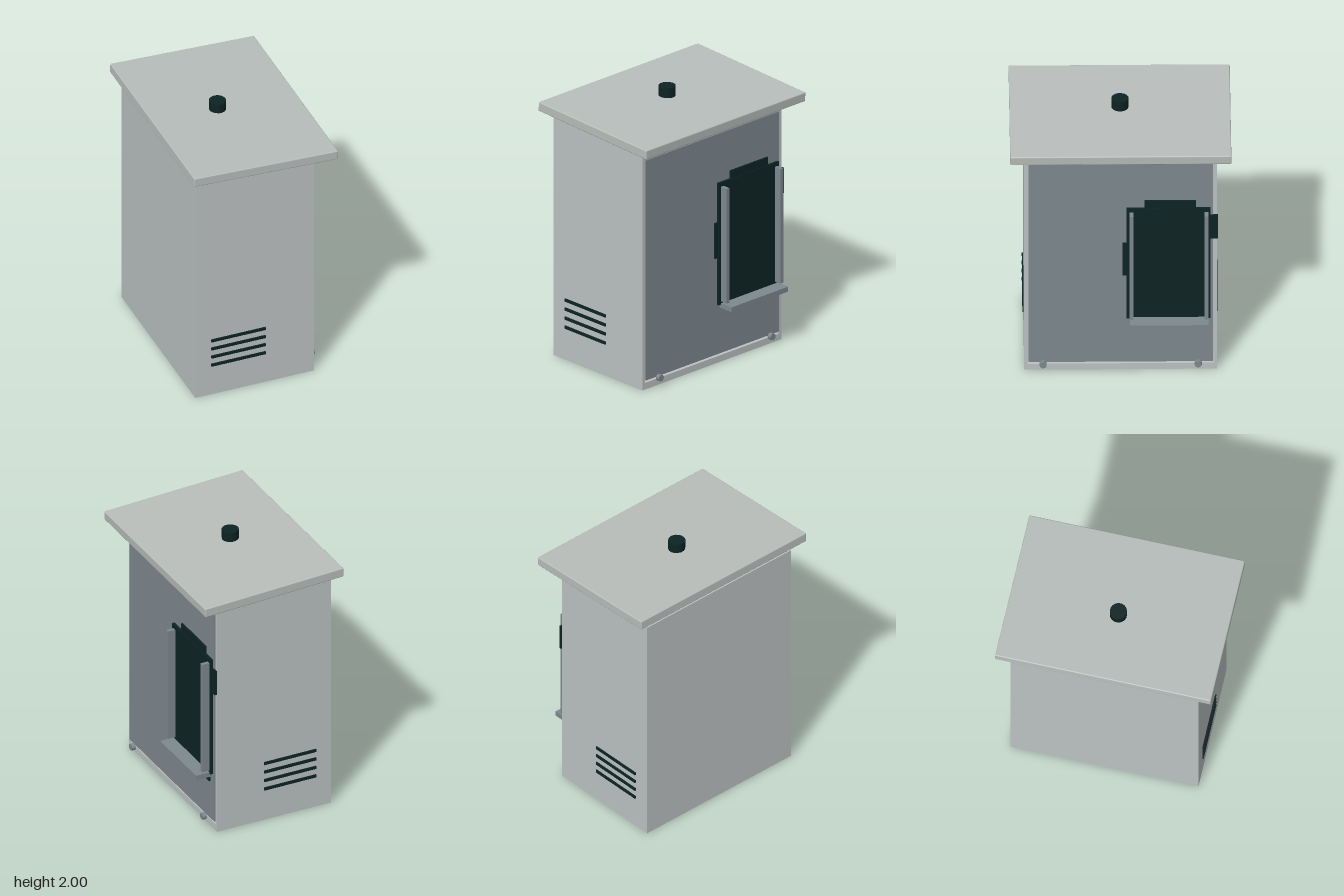
import * as THREE from 'three';
import { RoundedBoxGeometry } from 'three/addons/geometries/RoundedBoxGeometry.js';

export function createModel() {
  const model = new THREE.Group();
  model.name = 'utilityCabinet';

  const material = (name, color) => {
    const m = new THREE.MeshStandardMaterial({ color });
    m.name = name;
    return m;
  };
  const casing = material('casing grey', 0xbcc2c2);
  const roofGrey = material('roof grey', 0xb8bebb);
  const slate = material('slate grey', 0x7e898f);
  const dark = material('dark green black', 0x0d2323);

  const add = (name, geometry, mat, x = 0, y = 0, z = 0) => {
    const mesh = new THREE.Mesh(geometry, mat);
    mesh.name = name;
    mesh.position.set(x, y, z);
    model.add(mesh);
    return mesh;
  };
  // Box given by its lower and upper limits on each axis
  const box = (name, mat, [x0, x1], [y0, y1], [z0, z1]) =>
    add(name, new THREE.BoxGeometry(x1 - x0, y1 - y0, z1 - z0), mat,
      (x0 + x1) / 2, (y0 + y1) / 2, (z0 + z1) / 2);

  // Cabinet body with a shallow door recess framed on the +x side
  box('body', casing, [-0.5, 0.365], [0, 1.82], [-0.68, 0.68]);
  const outline = new THREE.Shape([
    new THREE.Vector2(-0.68, 0), new THREE.Vector2(0.68, 0),
    new THREE.Vector2(0.68, 1.82), new THREE.Vector2(-0.68, 1.82),
  ]);
  outline.holes.push(new THREE.Path([
    new THREE.Vector2(-0.655, 0.05), new THREE.Vector2(-0.655, 1.79),
    new THREE.Vector2(0.655, 1.79), new THREE.Vector2(0.655, 0.05),
  ]));
  const frame = add('doorFrame',
    new THREE.ExtrudeGeometry(outline, { depth: 0.04, bevelEnabled: false }), casing, 0.365);
  frame.rotation.y = Math.PI / 2;
  box('door', slate, [0.385, 0.413], [0.07, 1.75], [-0.65, 0.65]);

  // Sloping roof and its vent cap
  const roof = add('roof', new RoundedBoxGeometry(1.1, 0.07, 1.56, 2, 0.008), roofGrey, 0, 1.89, 0);
  roof.rotation.z = -0.043;
  const cap = add('ventCap', new THREE.CylinderGeometry(0.061, 0.061, 0.09, 16), dark, -0.05, 1.955, 0);
  cap.rotation.y = Math.PI / 16;

  // Ventilation slots, front and back
  for (const side of [1, -1]) {
    for (let i = 0; i < 4; i++) {
      add('ventSlot', new THREE.BoxGeometry(0.413, 0.022, 0.014), dark,
        -0.172, 0.252 + i * 0.069, side * 0.682);
    }
  }

  // Dark backing plate with offset tabs around its edges
  box('backingPlate', dark, [0.413, 0.433], [0.45, 1.38], [-0.633, -0.042]);
  box('topTab', dark, [0.41, 0.426], [1.37, 1.44], [-0.532, -0.167]);
  box('bottomTab', dark, [0.41, 0.426], [0.375, 0.46], [-0.595, -0.355]);
  box('frontTab', dark, [0.41, 0.426], [0.81, 1.08], [-0.05, -0.013]);
  box('rearTab', dark, [0.41, 0.426], [1.12, 1.315], [-0.685, -0.62]);

  // Side rails and lower shelf
  for (const z of [-0.076, -0.604]) {
    box('sideRail', slate, [0.43, 0.49], [0.475, 1.35], [z - 0.014, z + 0.014]);
  }
  box('shelf', slate, [0.415, 0.54], [0.422, 0.46], [-0.618, -0.065]);

  // Door bolts
  for (const z of [0.547, -0.547]) {
    const bolt = add('bolt', new THREE.CylinderGeometry(0.025, 0.025, 0.03, 16), slate, 0.445, 0.072, z);
    bolt.rotation.z = Math.PI / 2;
  }

  return model;
}
